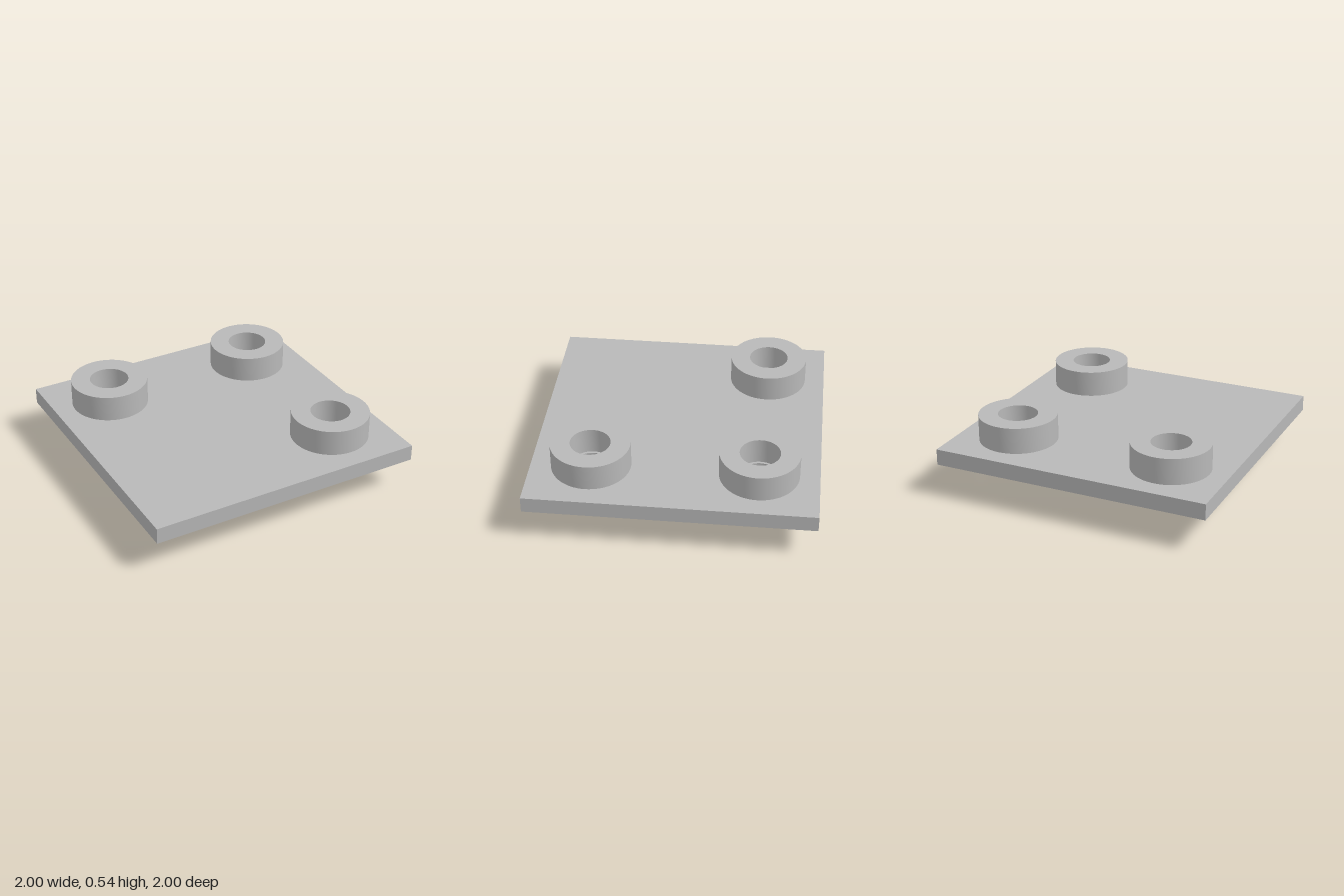
import * as THREE from 'three';
import { toCreasedNormals } from 'three/addons/utils/BufferGeometryUtils.js';

const PLATE_BOTTOM = 0.235, PLATE_TOP = 0.35, BOSS_TOP = 0.537;
const OFFSET = 0.582; // distance of each corner feature from the centre lines
const BOSS_R = 0.278, BOSS_HOLE_R = 0.14, PLATE_HOLE_R = 0.123;

// Turned part with sharp edges between profile segments
function turned(profile, material, name, x, z) {
  const points = profile.map(([r, y]) => new THREE.Vector2(r, y));
  const mesh = new THREE.Mesh(toCreasedNormals(new THREE.LatheGeometry(points, 64), 0.6), material);
  mesh.name = name;
  mesh.position.set(x, 0, z);
  return mesh;
}

export function createModel() {
  const group = new THREE.Group();
  group.name = 'plateWithBosses';
  const grey = new THREE.MeshStandardMaterial({ color: 0xb8b8b8 });
  grey.name = 'grey';

  const bosses = [
    ['backRightBoss', -OFFSET, -OFFSET],
    ['backLeftBoss', OFFSET, -OFFSET],
    ['frontLeftBoss', OFFSET, OFFSET],
  ];

  // Square plate with a through hole under each boss
  const outline = new THREE.Shape();
  outline.moveTo(-1, -1).lineTo(1, -1).lineTo(1, 1).lineTo(-1, 1).closePath();
  for (const [, x, z] of bosses) {
    const hole = new THREE.Path();
    hole.absarc(x, -z, PLATE_HOLE_R, 0, Math.PI * 2, true);
    outline.holes.push(hole);
  }
  const plateGeometry = new THREE.ExtrudeGeometry(outline, {
    depth: PLATE_TOP - PLATE_BOTTOM, bevelEnabled: false, curveSegments: 32,
  });
  plateGeometry.rotateX(-Math.PI / 2);
  plateGeometry.translate(0, PLATE_BOTTOM, 0);
  const plate = new THREE.Mesh(toCreasedNormals(plateGeometry, 0.6), grey);
  plate.name = 'plate';
  group.add(plate);

  // Raised ring bosses, their bores slightly wider than the plate holes
  for (const [name, x, z] of bosses) {
    group.add(turned([
      [BOSS_R, PLATE_TOP], [BOSS_R, BOSS_TOP], [BOSS_HOLE_R, BOSS_TOP], [BOSS_HOLE_R, PLATE_TOP],
    ], grey, name, x, z));
  }

  // Stepped locating peg under the remaining corner
  group.add(turned([
    [0, 0], [0.096, 0], [0.096, 0.03], [0.112, 0.03], [0.112, PLATE_BOTTOM],
  ], grey, 'peg', -OFFSET, OFFSET));

  return group;
}
